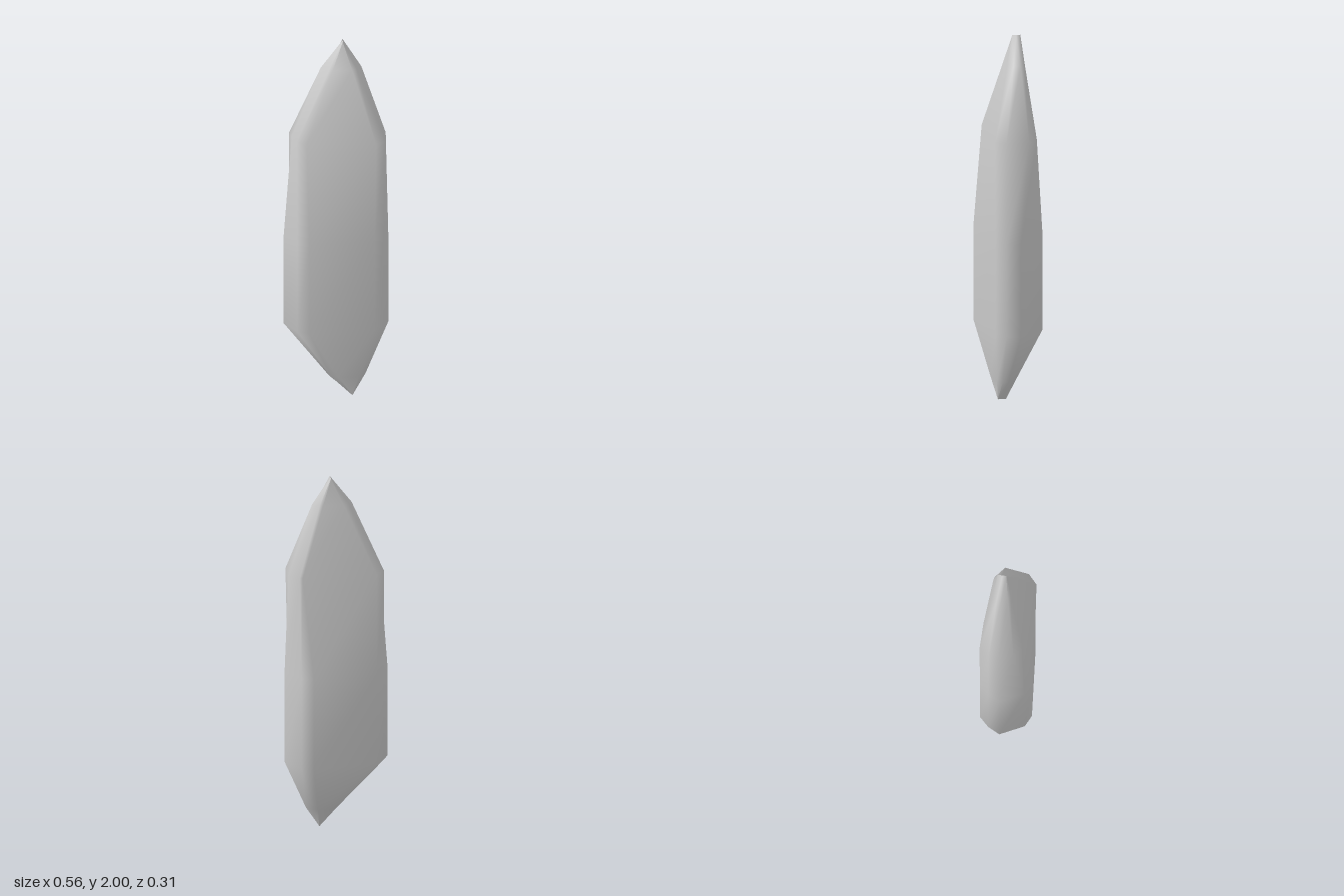
import * as THREE from 'three';

// Cross-sections: ten [x, z] corners each, running from the front-left
// corner round by the right-hand side and the back.
const BODY = [[-0.148, 0.155], [0.203, 0.115], [0.25, 0.065], [0.28, -0.005], [0.21, -0.13],
  [0.147, -0.157], [-0.2, -0.118], [-0.248, -0.066], [-0.28, 0], [-0.212, 0.127]];

const SHOULDER = [[-0.16, 0.106], [0.21, 0.12], [0.262, 0.07], [0.268, -0.055], [0.215, -0.108],
  [0.2, -0.112], [-0.2, -0.121], [-0.25, -0.065], [-0.237, -0.01], [-0.212, 0.065]];

const UPPER_TIP = [[-0.018, 0.018], [0.086, 0.023], [0.11, -0.006], [0.137, -0.038], [0.1, -0.066],
  [0.083, -0.073], [-0.029, -0.077], [-0.06, -0.052], [-0.08, -0.028], [-0.036, 0.005]];

const LOWER_TIP = [[0.01, 0.098], [0.12, 0.088], [0.14, 0.06], [0.157, 0.033], [0.125, -0.008],
  [0.102, -0.022], [0.004, -0.012], [-0.016, 0.026], [-0.038, 0.068], [-0.028, 0.083]];

// A chisel tip: the ring collapses to a short edge from front to back.
function chisel(x, front, back) {
  const mid = (front + back) / 2;
  return [front, front, front, mid, back, back, back, mid, mid, front].map(z => [x, z]);
}

// Skins the rings with smooth, area-weighted normals.
function loft(rings) {
  const n = rings[0].points.length;
  const positions = [], index = [];
  rings.forEach(({ y, points }) => points.forEach(([x, z]) => positions.push(x, y, z)));
  for (let r = 0; r < rings.length - 1; r++) {
    for (let k = 0; k < n; k++) {
      const a = r * n + k, b = r * n + (k + 1) % n;
      index.push(a, b, b + n, a, b + n, a + n);
    }
  }
  const geometry = new THREE.BufferGeometry();
  geometry.setAttribute('position', new THREE.Float32BufferAttribute(positions, 3));
  geometry.setIndex(index);
  geometry.computeVertexNormals();
  return geometry;
}

export function createModel() {
  const group = new THREE.Group();
  group.name = 'crystal';

  const shard = new THREE.Mesh(
    loft([
      { y: 0, points: chisel(0.085, 0.075, 0.03) },
      { y: 0.11, points: LOWER_TIP },
      { y: 0.39, points: BODY },
      { y: 0.9, points: BODY },
      { y: 1.46, points: SHOULDER },
      { y: 1.85, points: UPPER_TIP },
      { y: 2, points: chisel(0.037, -0.015, -0.06) },
    ]),
    new THREE.MeshStandardMaterial({ color: 0xcccccc })
  );
  shard.name = 'shard';
  group.add(shard);
  return group;
}
